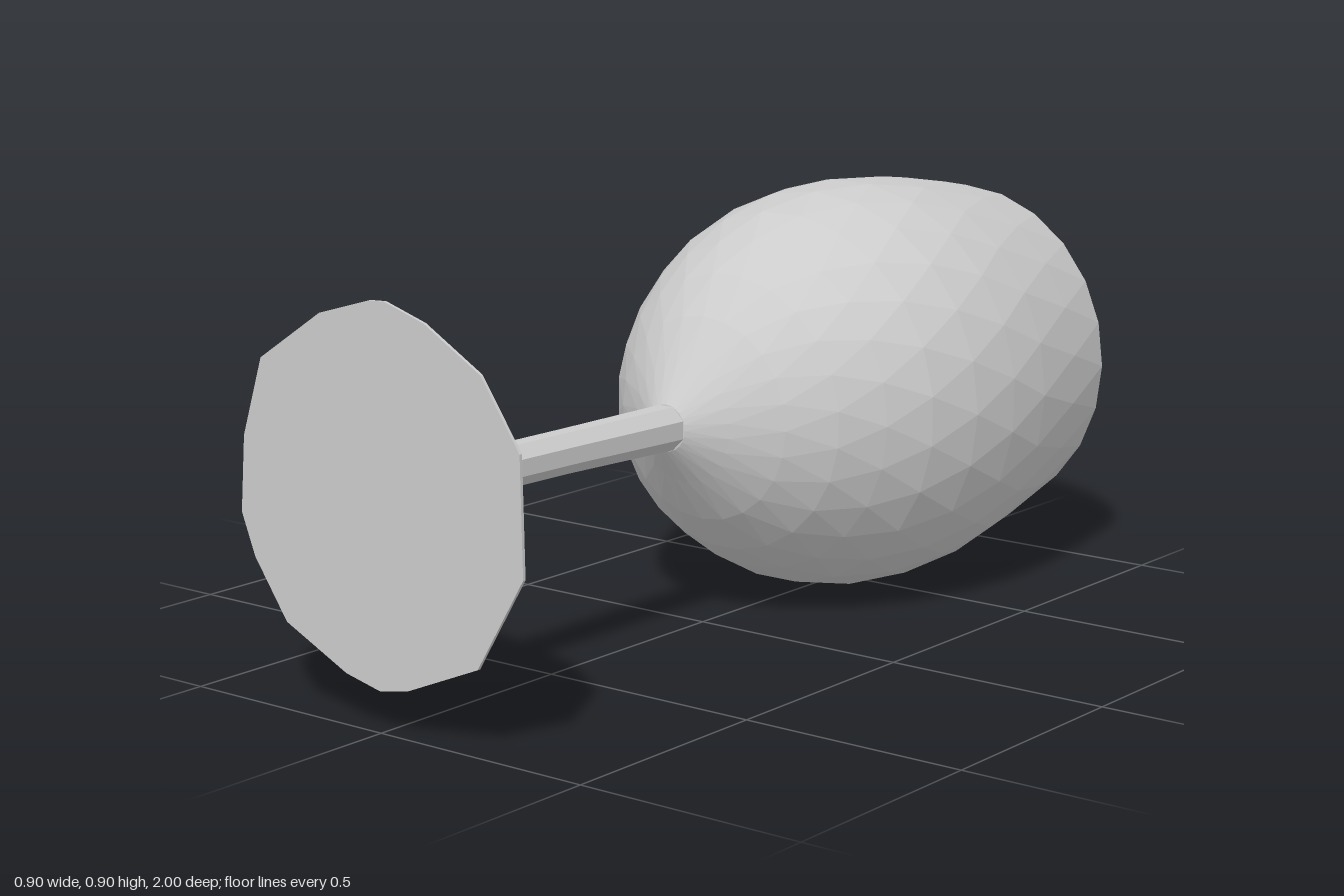
import * as THREE from 'three';

const TILT = 0.0145; // the glass lies almost level along z
const material = new THREE.MeshStandardMaterial({ color: 0xcccccc, flatShading: true, side: THREE.DoubleSide });

// Skin a list of equal-length rings, running from +z towards -z.
// A twisted loft shifts every second ring by half a step.
function loft(name, rings) {
  const n = rings[0].length, index = [];
  for (let r = 0; r < rings.length - 1; r++) {
    for (let i = 0; i < n; i++) {
      const j = (i + 1) % n;
      const a = r * n + i, a1 = r * n + j, b = a + n, b1 = a1 + n;
      if (r % 2) index.push(a, b, b1, a, b1, a1);
      else index.push(a, b, a1, a1, b, b1);
    }
  }
  const geometry = new THREE.BufferGeometry();
  geometry.setAttribute('position', new THREE.Float32BufferAttribute(rings.flat(2), 3));
  geometry.setIndex(index);
  geometry.computeVertexNormals();
  const mesh = new THREE.Mesh(geometry, material);
  mesh.name = name;
  return mesh;
}

// Circular ring whose plane follows the slight tilt
function circle(z, radius, cy, sides, shift = 0) {
  return Array.from({ length: sides }, (_, i) => {
    const a = (i + shift) / sides * Math.PI * 2;
    const dy = Math.sin(a) * radius;
    return [Math.cos(a) * radius, cy + dy, z - TILT * dy];
  });
}

export function createModel() {
  const glass = new THREE.Group();
  glass.name = 'wineGlass';

  // Bowl: thin open shell, [z, radius]
  const bowlProfile = [
    [0.13, 0], [0.125, 0.05], [0.07, 0.125], [0, 0.22], [-0.08, 0.3], [-0.17, 0.36],
    [-0.27, 0.41], [-0.39, 0.442], [-0.52, 0.453], [-0.65, 0.447], [-0.82, 0.42], [-0.993, 0.385],
  ];
  glass.add(loft('bowl', bowlProfile.map(([z, r], i) =>
    circle(z, r, z < -0.8 ? 0.458 : 0.453, 24, i % 2 ? 0 : -0.5))));

  // Stem: slim eight-sided rod
  glass.add(loft('stem', [
    circle(0.84, 0.045, 0.467, 8, 0.5),
    circle(0.45, 0.046, 0.461, 8, 0.5),
    circle(0.12, 0.05, 0.454, 8, 0.5),
  ]));

  // Foot: irregular polygon flaring out from the stem, flat underneath
  const outline = [
    [0.355, 0.6], [0.26, 0.735], [0.12, 0.815], [0.02, 0.845], [-0.02, 0.843], [-0.15, 0.805],
    [-0.31, 0.7], [-0.36, 0.54], [-0.37, 0.385], [-0.335, 0.3], [-0.25, 0.182], [-0.09, 0.107],
    [0, 0.087], [0.07, 0.1], [0.25, 0.175], [0.363, 0.365],
  ];
  const footProfile = [[0.994, 0], [0.994, 1], [0.987, 1], [0.962, 0.55], [0.937, 0.3], [0.9, 0.19], [0.83, 0.122]];
  glass.add(loft('foot', footProfile.map(([z, s]) => outline.map(([x, y]) => {
    const dy = (y - 0.467) * s;
    return [x * s, 0.467 + dy, z - TILT * dy];
  }))));

  return glass;
}
